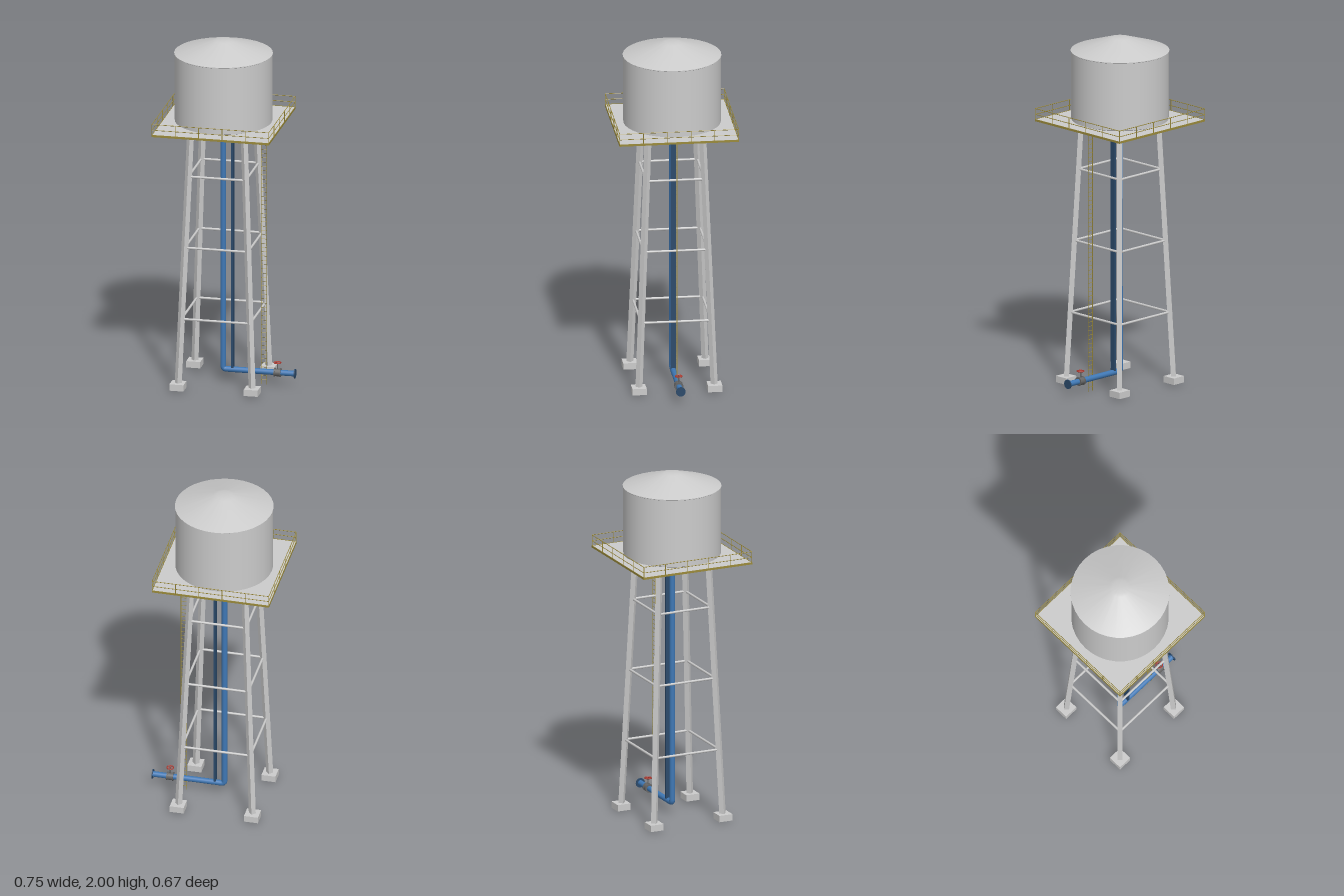
import * as THREE from 'three';
import { toCreasedNormals } from 'three/addons/utils/BufferGeometryUtils.js';

const CX = -0.038; // tower axis
const UP = new THREE.Vector3(0, 1, 0);
const mat = (color) => new THREE.MeshStandardMaterial({ color });
const grey = mat(0xcccccc), blue = mat(0x3f78b5), navy = mat(0x2b4a6b);
const brass = mat(0x9a8a3c), dark = mat(0x666666), red = mat(0xb03a30);

export function createModel() {
  const model = new THREE.Group();
  model.name = 'waterTower';

  const add = (name, geo, material, x = 0, y = 0, z = 0, parent = model) => {
    const m = new THREE.Mesh(geo, material);
    m.name = name;
    m.position.set(x, y, z);
    parent.add(m);
    return m;
  };
  const group = (name, x = 0) => {
    const g = new THREE.Group();
    g.name = name;
    g.position.x = x;
    model.add(g);
    return g;
  };
  // Straight bar between two points
  const bar = (name, a, b, r, sides, material, parent) => {
    const p = new THREE.Vector3(...a), q = new THREE.Vector3(...b);
    const d = q.clone().sub(p);
    let geo = new THREE.CylinderGeometry(r, r, d.length(), sides);
    if (sides <= 6) geo = toCreasedNormals(geo, 0.5);
    const m = add(name, geo, material, 0, 0, 0, parent);
    m.position.copy(p).add(q).multiplyScalar(0.5);
    m.quaternion.setFromUnitVectors(UP, d.normalize());
    return m;
  };

  // Tank, its base ring and conical roof
  const tank = group('tank', CX);
  add('tankShell', new THREE.CylinderGeometry(0.272, 0.272, 0.39, 36), grey, 0, 1.727, 0, tank);
  add('tankBase', new THREE.CylinderGeometry(0.245, 0.245, 0.02, 36), dark, 0, 1.527, 0, tank);
  const roof = [[0.272, 1.918], [0.275, 1.92], [0.275, 1.924], [0.06, 1.995], [0.04, 2], [0, 2]]
    .map(([x, y]) => new THREE.Vector2(x, y));
  add('roof', toCreasedNormals(new THREE.LatheGeometry(roof, 36), 0.5), grey, 0, 0, 0, tank);

  // Legs lean inwards; four-sided, corner-on to the axes
  const spread = (y) => 0.212 - 0.06 * (y / 1.512);
  const frame = group('frame', CX);
  const corners = [[1, 1], [1, -1], [-1, -1], [-1, 1]];
  corners.forEach(([sx, sz], i) => {
    const at = (y) => [sx * spread(y), y, sz * spread(y)];
    bar('leg', at(0.03), at(1.513), 0.02, 4, grey, frame);
    add('footing', new THREE.BoxGeometry(0.08, 0.037, 0.08), grey, sx * 0.212, 0.0255, sz * 0.212, frame);
    const [nx, nz] = corners[(i + 1) % 4];
    for (const y of [0.413, 0.826, 1.238]) {
      bar('brace', at(y), [nx * spread(y), y, nz * spread(y)], 0.007, 8, grey, frame);
    }
  });

  // Square platform with edge trim and railing
  const H = 0.333;
  const platform = group('platform', CX);
  add('deck', new THREE.BoxGeometry(2 * H, 0.01, 2 * H), grey, 0, 1.517, 0, platform);
  for (let side = 0; side < 4; side++) {
    const rail = new THREE.Group();
    rail.name = 'railing';
    rail.rotation.y = side * Math.PI / 2;
    platform.add(rail);
    add('edgeTrim', new THREE.BoxGeometry(2 * H + 0.003, 0.012, 0.003), brass, 0, 1.518, H, rail);
    for (const y of [1.552, 1.585]) bar('rail', [-H, y, H], [H, y, H], 0.002, 6, brass, rail);
    for (let i = 0; i < 5; i++) {
      const x = -H + (2 * H * i) / 5;
      bar('post', [x, 1.515, H], [x, 1.586, H], 0.002, 6, brass, rail);
    }
  }

  // Ladder
  const ladder = group('ladder', 0.193);
  for (const s of [-1, 1]) bar('stringer', [s * 0.016, 0, 0], [s * 0.016, 1.515, 0], 0.002, 6, brass, ladder);
  for (let y = 0.025; y < 1.5; y += 0.025) {
    bar('rung', [-0.016, y, 0], [0.016, y, 0], 0.0015, 5, brass, ladder);
  }

  // Riser pipe with a tight elbow into the outlet
  const PY = 0.074;
  const path = new THREE.CurvePath();
  const v = (x, y) => new THREE.Vector3(x, y, 0);
  path.add(new THREE.LineCurve3(v(CX - 0.002, 1.515), v(CX - 0.002, PY + 0.018)));
  path.add(new THREE.QuadraticBezierCurve3(v(CX - 0.002, PY + 0.018), v(CX - 0.002, PY), v(CX + 0.016, PY)));
  path.add(new THREE.LineCurve3(v(CX + 0.016, PY), v(0.37, PY)));
  add('pipe', new THREE.TubeGeometry(path, 220, 0.016, 16), blue);
  add('conduit', new THREE.BoxGeometry(0.012, 1.43, 0.03), navy, 0.014, 0.8, 0);
  bar('endFlange', [0.367, PY, 0], [0.372, PY, 0], 0.027, 20, navy);

  // Valve with handwheel
  const valve = group('valve', 0.27);
  bar('valveBody', [-0.016, PY, 0], [0.016, PY, 0], 0.022, 16, dark, valve);
  for (const s of [-1, 1]) bar('valveFlange', [s * 0.014, PY, 0], [s * 0.019, PY, 0], 0.025, 16, dark, valve);
  bar('stem', [0, PY, 0], [0, 0.132, 0], 0.004, 8, dark, valve);
  const wheel = add('handwheel', new THREE.TorusGeometry(0.019, 0.003, 8, 20), red, 0, 0.131, 0, valve);
  wheel.rotation.x = Math.PI / 2;
  bar('spoke', [-0.019, 0.131, 0], [0.019, 0.131, 0], 0.002, 6, red, valve);
  bar('spoke', [0, 0.131, -0.019], [0, 0.131, 0.019], 0.002, 6, red, valve);

  return model;
}
